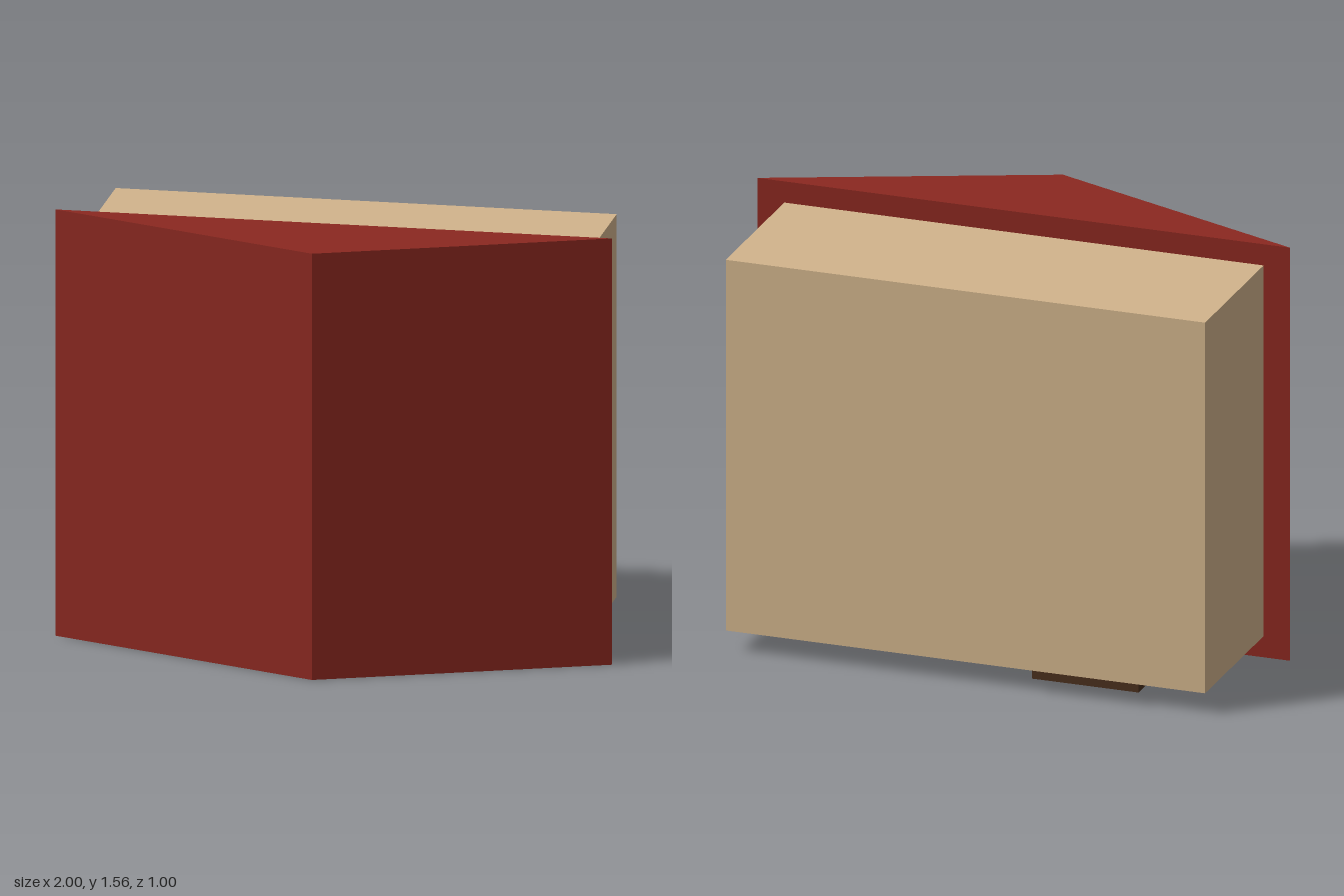
import * as THREE from 'three';

export function createModel() {
  const house = new THREE.Group();
  house.name = 'house';

  const add = (name, geometry, color) => {
    const material = new THREE.MeshStandardMaterial({ color, flatShading: true });
    const mesh = new THREE.Mesh(geometry, material);
    mesh.name = name;
    house.add(mesh);
  };

  // Box given by its extents along each axis
  const block = (name, [x0, x1], [y0, y1], [z0, z1], color) => {
    const geometry = new THREE.BoxGeometry(x1 - x0, y1 - y0, z1 - z0);
    geometry.translate((x0 + x1) / 2, (y0 + y1) / 2, (z0 + z1) / 2);
    add(name, geometry, color);
  };

  // The house lies on its face: the roof ridge points forward, the door faces down
  block('walls', [-0.9, 0.9], [0.08, 1.48], [-0.5, 0.1], 0xd2b48c);
  block('door', [-0.65, -0.25], [0.05, 0.08], [-0.5, 0.02], 0x4a2f1d);
  block('window', [0.15, 0.68], [0.05, 0.08], [-0.36, -0.02], 0x3498db);

  // Gable roof: triangle extruded along the height
  const gable = new THREE.Shape([
    new THREE.Vector2(-1, -0.1),
    new THREE.Vector2(0, -0.5),
    new THREE.Vector2(1, -0.1),
  ]);
  const roof = new THREE.ExtrudeGeometry(gable, { depth: 1.56, bevelEnabled: false });
  roof.rotateX(-Math.PI / 2);
  add('roof', roof, 0x8b2820);

  return house;
}
